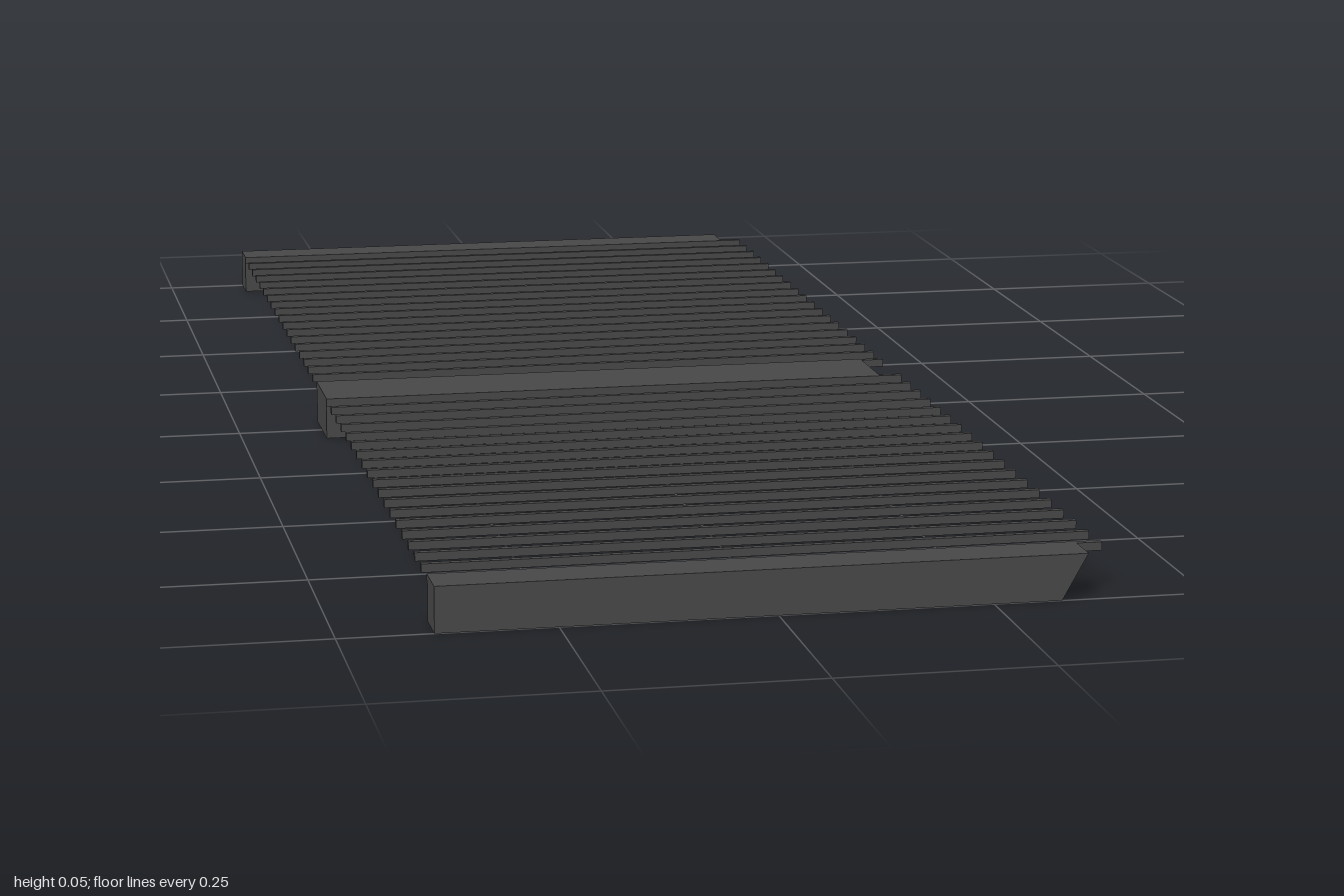
import * as THREE from 'three';

export function createModel() {
  const model = new THREE.Group();
  model.name = 'barGrating';
  const steel = new THREE.MeshStandardMaterial({ color: 0x484848 });
  steel.name = 'darkSteel';

  const height = 0.054, left = -0.39, right = 0.39;
  const beamWidth = 0.05, pitch = 0.05;
  const rodHeight = 0.01, rodWidth = 0.008;

  // Beam side profile: square at one end, undercut slope at the other
  const profile = new THREE.Shape([
    new THREE.Vector2(left, 0),
    new THREE.Vector2(0.33, 0),
    new THREE.Vector2(0.36, height),
    new THREE.Vector2(left, height),
  ]);
  const beamGeometry = new THREE.ExtrudeGeometry(profile, { depth: beamWidth, bevelEnabled: false });
  const rodGeometry = new THREE.BoxGeometry(right - left, rodHeight, rodWidth);

  // Two equal panels meet at z = 0
  for (const start of [-1, 0]) {
    const panel = new THREE.Group();
    panel.name = start < 0 ? 'backPanel' : 'frontPanel';
    panel.position.z = start;

    // Support beam along each edge of the panel
    for (const z of [0, 1 - beamWidth]) {
      const beam = new THREE.Mesh(beamGeometry, steel);
      beam.name = 'supportBeam';
      beam.position.z = z;
      panel.add(beam);
    }

    // Evenly spaced rods, flush with the beam tops
    for (let i = 1; i < 20; i++) {
      const rod = new THREE.Mesh(rodGeometry, steel);
      rod.name = 'rod';
      rod.position.set(0, height - rodHeight / 2, i * pitch);
      panel.add(rod);
    }
    model.add(panel);
  }
  return model;
}
